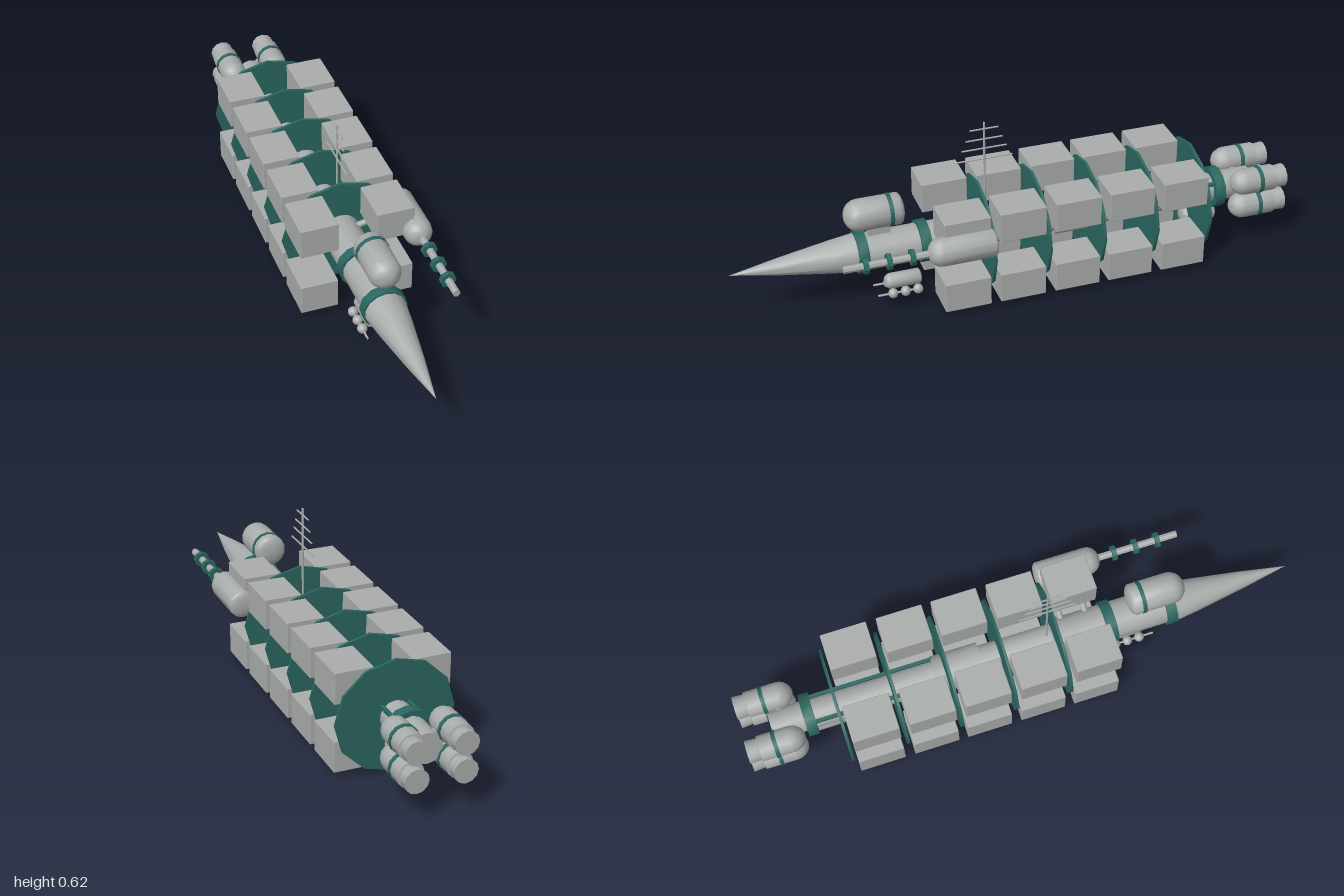
import * as THREE from 'three';
import { toCreasedNormals } from 'three/addons/utils/BufferGeometryUtils.js';
import { RoundedBoxGeometry } from 'three/addons/geometries/RoundedBoxGeometry.js';

const AX = -0.027, AY = 0.197; // ship axis
const WIDE = 1.055;            // hull is slightly wider than tall

export function createModel() {
  const model = new THREE.Group();
  model.name = 'cargoSpaceship';
  const grey = new THREE.MeshStandardMaterial({ color: 0xa9adab });
  grey.name = 'hullGrey';
  const teal = new THREE.MeshStandardMaterial({ color: 0x2a6660 });
  teal.name = 'trimTeal';

  function add(name, geometry, material, x = 0, y = 0, z = 0) {
    const mesh = new THREE.Mesh(geometry, material);
    mesh.name = name;
    mesh.position.set(x, y, z);
    model.add(mesh);
    return mesh;
  }
  // Turned part along z; profile is [radius, z] from back to front
  function turned(name, profile, material, x, y, sides = 12, sx = 1) {
    const g = new THREE.LatheGeometry(profile.map(p => new THREE.Vector2(p[0], p[1])), sides);
    g.rotateX(Math.PI / 2);
    g.scale(sx, 1, 1);
    return add(name, toCreasedNormals(g, 0.65), material, x, y);
  }
  const drum = (name, r, z0, z1, material, x, y, sides, sx) =>
    turned(name, [[0, z0], [r, z0], [r, z1], [0, z1]], material, x, y, sides, sx);
  // Quarter-round end cap, ending at z1; direction 1 faces front, -1 faces back
  function dome(r, z1, depth, dir) {
    const pts = [];
    for (let i = 0; i <= 5; i++) {
      const a = (i / 5) * Math.PI / 2;
      pts.push([r * Math.cos(a), z1 - dir * depth * (1 - Math.sin(a))]);
    }
    return dir > 0 ? pts : pts.reverse();
  }
  // Bar between two points
  function rod(name, a, b, r, material) {
    const p = new THREE.Vector3(...a), q = new THREE.Vector3(...b);
    const m = add(name, new THREE.CylinderGeometry(r, r, p.distanceTo(q), 8), material);
    m.position.copy(p).add(q).multiplyScalar(0.5);
    m.quaternion.setFromUnitVectors(new THREE.Vector3(0, 1, 0), q.sub(p).normalize());
  }

  // Hull
  turned('noseCone', [[0.068, 0.56], [0.057, 0.65], [0.03, 0.83], [0, 1]], grey, AX, AY, 14, WIDE);
  drum('forwardHull', 0.064, 0.12, 0.565, grey, AX, AY, 14, WIDE);
  drum('spine', 0.054, -0.9, 0.13, grey, AX, AY, 14);
  drum('midModule', 0.064, -0.31, -0.14, grey, AX, AY, 14, WIDE);
  for (const z of [0.53, 0.31, -0.785])
    drum('collar', 0.0735, z, z + 0.037, teal, AX, AY, 12, WIDE);
  for (const s of [-1, 1])
    add('spineRail', new THREE.BoxGeometry(0.012, 0.012, 0.45), teal, AX + s * 0.046, 0.236, -0.53);

  // Bulkhead discs and the cargo containers ahead of them
  for (const z of [-0.665, -0.466, -0.27, -0.071, 0.127]) {
    drum('bulkhead', 0.197, z - 0.005, z + 0.005, teal, AX, AY, 12, WIDE);
    for (const s of [-1, 1])
      for (const y of [0.076, 0.3175])
        add('cargoContainer', new RoundedBoxGeometry(0.133, 0.111, 0.164, 1, 0.003), grey,
          AX + s * 0.1345, y, z + 0.097);
  }
  add('hatchPlate', new THREE.BoxGeometry(0.095, 0.006, 0.12), grey, -0.16, 0.018, 0.224);

  // Engine cluster
  for (const x of [-0.11, 0.055])
    for (const y of [0.152, 0.248]) {
      turned('engine', [[0, -1], [0.042, -1], [0.039, -0.96], [0.046, -0.958], [0.047, -0.85],
        ...dome(0.047, -0.795, 0.05, 1)], grey, x, y);
      drum('engineRing', 0.0495, -0.908, -0.894, teal, x, y);
    }
  for (const s of [-1, 1])
    rod('engineMount', [AX - 0.07, AY - s * 0.045, -0.86], [AX + 0.07, AY + s * 0.045, -0.86], 0.015, grey);
  turned('ventralTank', [...dome(0.036, -0.775, 0.015, -1), ...dome(0.036, -0.64, 0.015, 1)],
    grey, AX, 0.101);

  // Dorsal tank
  turned('dorsalTank', [...dome(0.056, 0.39, 0.02, -1), ...dome(0.056, 0.6, 0.05, 1)],
    grey, AX, 0.344, 14);
  drum('dorsalTankRing', 0.058, 0.434, 0.448, teal, AX, 0.344, 14);
  add('dorsalPylon', new THREE.BoxGeometry(0.02, 0.05, 0.08), grey, AX, 0.275, 0.48);

  // Side pod with ringed boom
  const px = 0.182, py = 0.278;
  turned('sidePod', [...dome(0.05, 0.125, 0.015, -1), ...dome(0.05, 0.366, 0.045, 1)], grey, px, py);
  drum('boom', 0.013, 0.35, 0.655, grey, px, py, 8);
  for (const z of [0.42, 0.5, 0.58])
    drum('boomRing', 0.028, z - 0.008, z + 0.008, teal, px, py, 8);
  for (const z of [0.17, 0.26])
    rod('podStrut', [0.02, 0.234, z], [0.16, 0.267, z], 0.011, grey);

  // Small wheeled scout below the hull
  turned('scoutBody', [...dome(0.028, 0.335, 0.012, -1), ...dome(0.028, 0.47, 0.022, 1)],
    grey, AX, 0.053);
  for (const s of [-1, 1]) {
    const x = AX + s * 0.034;
    for (const z of [0.357, 0.402, 0.447])
      add('scoutBall', new THREE.SphereGeometry(0.018, 12, 8), grey, x, 0.023, z);
    rod('scoutProbe', [x, 0.023, 0.35], [x, 0.023, 0.5], 0.004, grey);
  }

  // Antenna mast
  rod('mast', [AX, 0.24, 0.1], [AX, 0.62, 0.1], 0.004, grey);
  for (const [y, half] of [[0.48, 0.1], [0.52, 0.08], [0.556, 0.065], [0.595, 0.05]])
    rod('antennaBar', [AX, y, 0.1 - half], [AX, y, 0.1 + half], 0.003, grey);

  return model;
}
